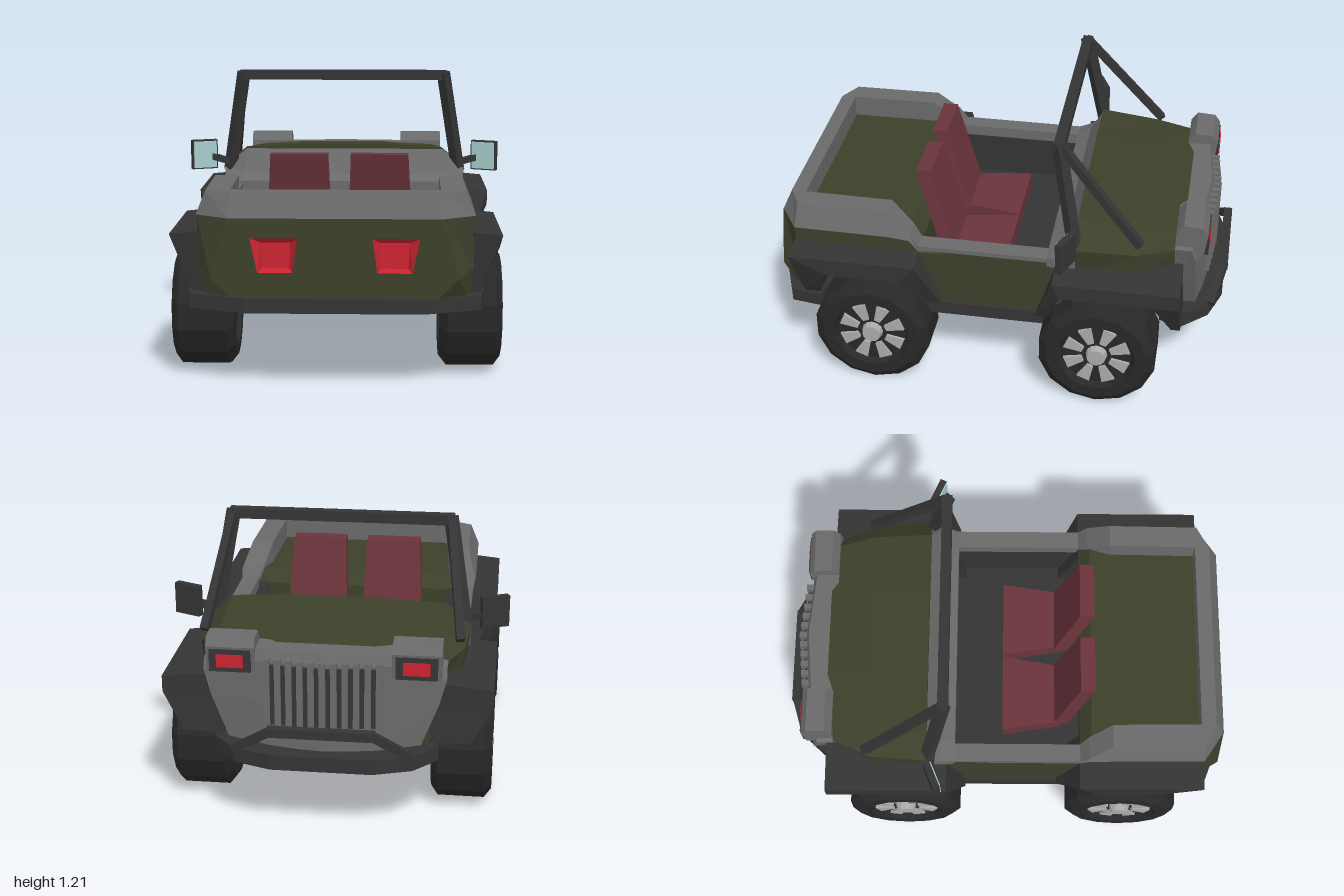
import * as THREE from 'three';

const mat = (color, side = THREE.FrontSide) =>
  new THREE.MeshStandardMaterial({ color, side, flatShading: true });
const green = mat(0x3c402a), dark = mat(0x343434), grey = mat(0x6a6a6a), tyreMat = mat(0x282828);
const silver = mat(0xaaaaaa), seatRed = mat(0x6b343c), glass = mat(0xa6cccc), red = mat(0xcc2430);
const greenSheet = mat(0x3c402a, THREE.DoubleSide), redSheet = mat(0xcc2430, THREE.DoubleSide);

// Faceted copy whose faces point outwards (signed volume made positive)
function finish(source) {
  const geo = source.index ? source.toNonIndexed() : source.clone();
  const p = geo.attributes.position;
  const v = [0, 1, 2].map(() => new THREE.Vector3());
  let volume = 0;
  for (let i = 0; i < p.count; i += 3) {
    v.forEach((q, k) => q.fromBufferAttribute(p, i + k));
    volume += v[0].dot(v[1].clone().cross(v[2]));
  }
  if (volume < 0) {
    for (let i = 0; i < p.count; i += 3) {
      v.forEach((q, k) => q.fromBufferAttribute(p, i + k));
      p.setXYZ(i + 1, ...v[2].toArray());
      p.setXYZ(i + 2, ...v[1].toArray());
    }
  }
  geo.computeVertexNormals();
  return geo;
}

// Skin through loops of [x, y, z] points
function loft(loops, capStart = true, capEnd = true) {
  const out = [], n = loops[0].length;
  for (let s = 0; s + 1 < loops.length; s++) {
    for (let i = 0; i < n; i++) {
      const j = (i + 1) % n, a = loops[s], b = loops[s + 1];
      out.push(...a[i], ...a[j], ...b[j], ...a[i], ...b[j], ...b[i]);
    }
  }
  const first = loops[0], last = loops[loops.length - 1];
  for (let i = 1; i + 1 < n; i++) {
    if (capStart) out.push(...first[0], ...first[i + 1], ...first[i]);
    if (capEnd) out.push(...last[0], ...last[i], ...last[i + 1]);
  }
  return new THREE.BufferGeometry().setAttribute('position', new THREE.Float32BufferAttribute(out, 3));
}

// Symmetric cross-section at depth z from its +x half, bottom to top
const sym = (z, half) => [...half.map(([x, y]) => [x, y, z]), ...half.map(([x, y]) => [-x, y, z]).reverse()];
const box = (x0, x1, y0, y1, z0, z1) => new THREE.BoxGeometry(x1 - x0, y1 - y0, z1 - z0)
  .translate((x0 + x1) / 2, (y0 + y1) / 2, (z0 + z1) / 2);
const shapeOf = (pts) => new THREE.Shape(pts.map(([a, b]) => new THREE.Vector2(a, b)));
// Side profile of [z, y] points extruded from x0 to x1
const sidePrism = (pts, x0, x1) => new THREE.ExtrudeGeometry(shapeOf(pts), { depth: x1 - x0, bevelEnabled: false })
  .rotateY(-Math.PI / 2).translate(x1, 0, 0);
// Plan outline, given as a +x half of [x, z] points, between two heights
const plan = (half, y0, y1) => loft([y0, y1].map((y) => sym(0, half).map(([x, z]) => [x, y, z])));
function bar(a, b, t) {
  const p = new THREE.Vector3(...a), q = new THREE.Vector3(...b);
  const mid = p.clone().add(q).multiplyScalar(0.5);
  return new THREE.BoxGeometry(t, t, p.distanceTo(q) + t * 0.6).lookAt(q.sub(p)).translate(mid.x, mid.y, mid.z);
}

export function createModel() {
  const model = new THREE.Group();
  const add = (name, geo, material) => {
    const mesh = new THREE.Mesh(finish(geo), material);
    mesh.name = name;
    model.add(mesh);
  };
  const pair = (name, geo, material) => {
    add(name + 'Left', geo, material);
    add(name + 'Right', geo.clone().scale(-1, 1, 1), material);
  };

  // Underbody and cockpit tub
  const hull = [[0.36, 0.33], [0.44, 0.36], [0.44, 0.41]];
  add('underbody', loft([sym(-0.78, hull), sym(0.9, hull)]), green);
  add('cockpitFloor', box(-0.5, 0.5, 0.36, 0.42, -0.3, 0.38), dark);
  add('bulkhead', box(-0.5, 0.5, 0.4, 0.66, -0.36, -0.3), dark);
  add('engineBay', box(-0.43, 0.43, 0.4, 0.65, -0.79, -0.34), green);
  pair('door', box(0.5, 0.56, 0.36, 0.65, -0.3, 0.4), green);
  pair('doorLining', box(0.485, 0.5, 0.4, 0.63, -0.3, 0.36), dark);
  pair('sill', box(0.42, 0.575, 0.33, 0.39, -0.22, 0.3), dark);

  // Rear body, with a tail panel pierced for the lamps
  add('rearCore', box(-0.44, 0.44, 0.4, 0.68, 0.36, 0.88), green);
  const flank = (z, top) => sym(z, [[0.56, 0.55], [0.56, top]]);
  add('rearFlanks', loft([flank(0.33, 0.65), flank(0.38, 0.71), flank(0.88, 0.71)]), green);
  const tailWide = [[0.54, 0.36], [0.56, 0.5], [0.56, 0.71]];
  const tailEnd = [[0.42, 0.39], [0.5, 0.47], [0.43, 0.71]];
  add('tailShell', loft([sym(0.77, tailWide), sym(0.88, tailWide), sym(0.97, tailEnd)], true, false), greenSheet);
  const panel = shapeOf(sym(0, tailEnd));
  const lampHole = [[0.17, 0.49], [0.31, 0.49], [0.34, 0.63], [0.15, 0.63]];
  for (const s of [1, -1]) panel.holes.push(shapeOf(lampHole.map(([x, y]) => [s * x, y])));
  add('tailPanel', new THREE.ShapeGeometry(panel).translate(0, 0, 0.97), greenSheet);
  const lampBack = [[0.185, 0.5], [0.295, 0.5], [0.3, 0.605], [0.18, 0.605]];
  pair('tailLamp', loft([lampHole.map((p) => [...p, 0.972]), lampBack.map((p) => [...p, 0.925])], false), redSheet);

  // Grey rim: low beside the cockpit, high around the rear deck
  const half = [
    [[0.56, 0.64, -0.25], [0.56, 0.67, -0.25], [0.48, 0.67, -0.25], [0.48, 0.62, -0.25]],
    [[0.56, 0.64, 0.33], [0.56, 0.67, 0.33], [0.48, 0.67, 0.33], [0.48, 0.62, 0.33]],
    [[0.57, 0.7, 0.37], [0.56, 0.72, 0.37], [0.46, 0.72, 0.37], [0.46, 0.66, 0.37]],
    [[0.57, 0.71, 0.47], [0.53, 0.81, 0.47], [0.43, 0.81, 0.47], [0.43, 0.67, 0.47]],
    [[0.565, 0.71, 0.88], [0.525, 0.81, 0.87], [0.425, 0.81, 0.86], [0.425, 0.67, 0.86]],
    [[0.43, 0.71, 0.97], [0.42, 0.81, 0.925], [0.4, 0.81, 0.86], [0.4, 0.67, 0.86]],
  ];
  const otherHalf = half.map((loop) => loop.map(([x, y, z]) => [-x, y, z])).reverse();
  add('bodyRim', loft([...half, ...otherHalf]), grey);

  // Cowl and hood
  add('cowl', loft([
    sym(-0.23, [[0.56, 0.63], [0.56, 0.67], [0.48, 0.68]]),
    sym(-0.29, [[0.57, 0.63], [0.57, 0.69], [0.48, 0.71]]),
    sym(-0.355, [[0.57, 0.63], [0.58, 0.74], [0.47, 0.83]]),
  ]), grey);
  add('hood', loft([
    sym(-0.35, [[0.56, 0.6], [0.58, 0.74], [0.47, 0.83], [0.2, 0.845]]),
    sym(-0.61, [[0.55, 0.6], [0.56, 0.73], [0.47, 0.8], [0.2, 0.825]]),
    sym(-0.8, [[0.44, 0.6], [0.47, 0.72], [0.42, 0.79], [0.2, 0.8]]),
  ]), green);

  // Grille with vertical slats, and headlamps in raised housings
  const nose = (x, low, high, front) => [[x * 0.8, low, -0.77], [x, high, -0.77], [x, high, front + 0.02],
    [x, high - 0.05, front], [x * 0.94, 0.58, front - 0.005], [x * 0.8, low, front - 0.01]];
  add('noseBlock', loft([nose(-0.5, 0.4, 0.74, -0.86), nose(-0.28, 0.38, 0.8, -0.89), nose(0, 0.37, 0.8, -0.915),
    nose(0.28, 0.38, 0.8, -0.89), nose(0.5, 0.4, 0.74, -0.86)]), grey);
  for (let i = -5; i <= 5; i++) {
    const x = i * 0.046, z = -0.925 + Math.abs(x) * 0.09;
    add('grilleSlat', box(x - 0.013, x + 0.013, 0.46, 0.77, z - 0.015, z + 0.04), grey);
    if (i < 5) add('grilleGap', box(x + 0.013, x + 0.033, 0.48, 0.74, z - 0.003, z + 0.03), dark);
  }
  pair('headlampHousing', sidePrism([[-0.77, 0.7], [-0.77, 0.81], [-0.8, 0.85], [-0.88, 0.845], [-0.905, 0.81],
    [-0.89, 0.7]], 0.28, 0.48), grey);
  pair('headlampFrame', box(0.295, 0.465, 0.705, 0.8, -0.91, -0.87), dark);
  pair('headlamp', box(0.325, 0.435, 0.725, 0.78, -0.915, -0.88), red);

  // Bumpers and front guard bar
  add('frontBumper', plan([[0.44, -0.72], [0.47, -0.82], [0.37, -0.93], [0.21, -0.985]], 0.31, 0.375), dark);
  pair('guardUpright', bar([0.36, 0.38, -0.94], [0.21, 0.48, -0.98], 0.035), dark);
  add('guardBar', bar([-0.21, 0.48, -0.98], [0.21, 0.48, -0.98], 0.038), dark);
  add('rearBumper', plan([[0.36, 1], [0.59, 0.91], [0.61, 0.77], [0.45, 0.75]], 0.33, 0.39), dark);

  // Fenders: top slopes outwards, legs draw in towards the sills
  const fender = (profile, outer) => {
    const geo = sidePrism(profile, 0.43, outer), p = geo.attributes.position;
    for (let i = 0; i < p.count; i++) {
      const y = p.getY(i);
      if (p.getX(i) < 0.6) continue;
      if (y > 0.6) p.setY(i, y - 0.025);
      else p.setX(i, outer - Math.max(0, 0.55 - y) * 0.55);
    }
    return geo;
  };
  pair('rearFender', fender([[0.885, 0.655], [0.85, 0.39], [0.78, 0.39], [0.72, 0.55], [0.4, 0.55], [0.3, 0.39],
    [0.23, 0.39], [0.33, 0.655]], 0.675), dark);
  pair('frontFender', fender([[-0.19, 0.39], [-0.27, 0.655], [-0.81, 0.655], [-0.81, 0.56], [-0.82, 0.39],
    [-0.78, 0.39], [-0.7, 0.56], [-0.3, 0.56], [-0.25, 0.39]], 0.69), dark);

  // Windscreen frame
  add('windscreenTop', bar([-0.475, 1.185, -0.265], [0.475, 1.185, -0.265], 0.045), dark);
  pair('windscreenPost', bar([0.475, 1.185, -0.265], [0.55, 0.73, -0.35], 0.045), dark);
  pair('windscreenBrace', bar([0.475, 1.185, -0.275], [0.54, 0.78, -0.62], 0.035), dark);

  // Door mirrors
  const angled = (geo) => geo.rotateY(-0.4).translate(0.675, 0.795, -0.325);
  pair('mirrorHousing', angled(new THREE.BoxGeometry(0.125, 0.14, 0.03)), dark);
  pair('mirrorGlass', angled(box(-0.056, 0.056, -0.064, 0.064, 0.01, 0.02)), glass);
  pair('mirrorArm', bar([0.55, 0.76, -0.33], [0.64, 0.785, -0.335], 0.03), dark);

  // Seats: cushion narrows to the back, backrest leans rearwards
  const rect = (x0, x1, y, z0, z1) => [[x0, y, z0], [x1, y, z0], [x1, y, z1], [x0, y, z1]];
  pair('seatCushion', loft([0.42, 0.5].map((y) =>
    [[0.005, y, -0.02], [0.36, y, -0.02], [0.32, y, 0.25], [0.05, y, 0.25]])), seatRed);
  pair('seatBack', loft([rect(0.035, 0.325, 0.48, 0.215, 0.28), rect(0.05, 0.3, 0.89, 0.325, 0.39)]), seatRed);

  // Wheels
  const tyre = new THREE.LatheGeometry([[0, -0.11], [0.16, -0.11], [0.17, -0.13], [0.22, -0.13], [0.26, -0.1],
    [0.26, 0.1], [0.22, 0.13], [0.17, 0.13], [0.155, 0.1], [0, 0.1]].map((p) => new THREE.Vector2(...p)),
  14, Math.PI / 14).rotateZ(-Math.PI / 2);
  const hub = new THREE.CylinderGeometry(0.04, 0.05, 0.04, 12).rotateZ(-Math.PI / 2).translate(0.11, 0, 0);
  for (const z of [0.53, -0.47]) {
    const place = (geo) => geo.clone().translate(0.56, 0.26, z);
    pair('tyre', place(tyre), tyreMat);
    pair('hub', place(hub), silver);
    for (let k = 0; k < 8; k++) {
      const spoke = sidePrism([[-0.014, 0.065], [0.014, 0.065], [0.03, 0.145], [-0.03, 0.145]], 0.09, 0.112);
      pair('spoke', place(spoke.rotateX((k + 0.5) * Math.PI / 4)), silver);
    }
  }
  return model;
}
